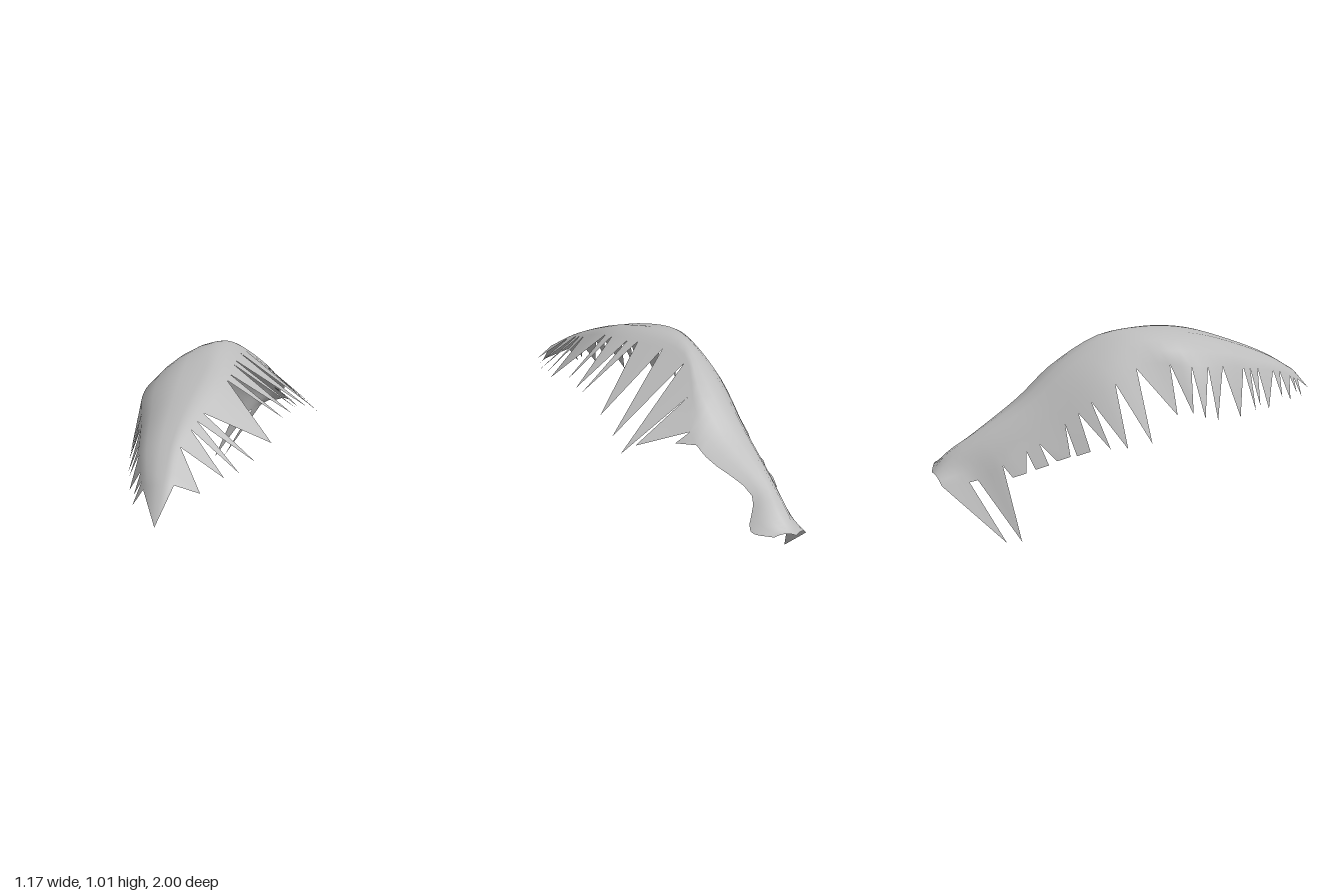
import * as THREE from 'three';

const leafGrey = new THREE.MeshStandardMaterial({ color: 0xbcbcbc, side: THREE.DoubleSide });
leafGrey.name = 'leafGrey';

const PER = 4, HALF = 4; // rows per station, strips per flank

// stations from the tip to the stalk: left edge, ridge, right edge as seen from the front
const stations = [
  [[-.53, .65, .82], [-.46, .69, .87], [-.40, .69, .88]],
  [[-.53, .73, .62], [-.40, .80, .68], [-.35, .79, .71]],
  [[-.50, .79, .37], [-.31, .90, .45], [-.22, .87, .52]],
  [[-.48, .83, .15], [-.21, .975, .22], [-.07, .945, .30]],
  [[-.41, .85, -.02], [-.13, 1.01, -.03], [.015, .965, .06]],
  [[-.25, .86, -.17], [-.03, .995, -.20], [.12, .925, -.25]],
  [[-.14, .74, -.37], [.10, .87, -.40], [.37, .68, -.395]],
  [[.02, .53, -.58], [.22, .67, -.60], [.42, .59, -.50]],
  [[.18, .38, -.77], [.36, .51, -.80], [.46, .46, -.75]],
  [[.27, .305, -.86], [.45, .41, -.92], [.58, .345, -.79]],
  [[.38, .285, -1.0], [.49, .325, -.98], [.575, .34, -.90]],
];
const ROWS = PER * (stations.length - 1);

// leaflets: first row, last row, tip x, y, z, optional 1 for a blunt end
const outerTeeth = [
  [0, 1, -.58, .56, .79], [1, 2, -.57, .59, .75], [2, 4, -.585, .57, .66], [4, 5, -.58, .60, .58],
  [5, 7, -.58, .56, .45], [7, 8, -.57, .59, .38], [8, 9, -.57, .57, .34], [9, 12, -.555, .56, .22],
  [12, 14, -.52, .57, .07], [14, 16, -.50, .59, -.01], [16, 18, -.47, .62, -.07], [18, 21, -.44, .63, -.16],
  [21, 23, -.38, .50, -.28], [23, 25, -.31, .48, -.38], [25, 26, -.25, .48, -.44], [26, 27, -.18, .47, -.51, 1],
  [27, 29, -.10, .44, -.57, 1], [29, 30, -.03, .40, -.65, 1], [30, 32, .05, .36, -.73, 1],
  [32, 36, .03, .02, -.79], [37, 40, .10, .005, -.83],
];
const innerTeeth = [
  [0, 4, -.29, .65, .90], [4, 6, -.17, .67, .81], [6, 7, -.09, .66, .76], [7, 8, 0, .67, .67],
  [8, 12, .10, .71, .56], [12, 13, .20, .76, .39], [13, 15, .26, .75, .30], [15, 16, .30, .75, .24],
  [16, 18, .40, .69, .08], [18, 20, .48, .63, -.03], [20, 22, .53, .57, -.10], [22, 24, .49, .61, -.16],
  [24, 26, .42, .63, -.34],
];

function createFrond() {
  const pos = [], index = [];
  const add = (p) => pos.push(p.x, p.y, p.z) / 3 - 1;
  const curves = [0, 1, 2].map(k =>
    new THREE.CatmullRomCurve3(stations.map(s => new THREE.Vector3(...s[k]))));

  // one flank: an arched curve from a to b
  const flank = (a, b) => {
    const control = a.clone().add(b).multiplyScalar(.5);
    control.y += .24 * a.distanceTo(b);
    return new THREE.QuadraticBezierCurve3(a, control, b);
  };

  // arched body, lofted row by row
  const cols = 2 * HALF + 1;
  for (let i = 0; i <= ROWS; i++) {
    const [l, s, r] = curves.map(c => c.getPoint(i / ROWS));
    const left = flank(l, s).getPoints(HALF), right = flank(s, r).getPoints(HALF);
    [...left, ...right.slice(1)].forEach(add);
  }
  for (let i = 0; i < ROWS; i++) for (let j = 0; j < cols - 1; j++) {
    const a = i * cols + j, b = a + cols;
    index.push(a, a + 1, b, a + 1, b + 1, b);
  }

  // pointed front end
  const tip = add(new THREE.Vector3(-.5, .56, 1));
  for (let j = 0; j < cols - 1; j++) index.push(tip, j + 1, j);

  // leaflets fanned from the body edges to their tips
  const addTeeth = (teeth, col) => teeth.forEach(([from, to, x, y, z, blunt]) => {
    const t = add(new THREE.Vector3(x, y, z));
    const tri = (a, b, c) => col ? index.push(b, a, c) : index.push(a, b, c);
    for (let i = from; i < to; i++) tri(t, i * cols + col, (i + 1) * cols + col);
    if (blunt) tri(t, to * cols + col, add(new THREE.Vector3(x + .055, y - .025, z - .04)));
  });
  addTeeth(outerTeeth, 0);
  addTeeth(innerTeeth, cols - 1);

  const geometry = new THREE.BufferGeometry();
  geometry.setAttribute('position', new THREE.Float32BufferAttribute(pos, 3));
  geometry.setIndex(index);
  geometry.computeVertexNormals();
  const mesh = new THREE.Mesh(geometry, leafGrey);
  mesh.name = 'palmFrond';
  return mesh;
}

export function createModel() {
  const group = new THREE.Group();
  group.name = 'palmLeaf';
  group.add(createFrond());
  return group;
}
